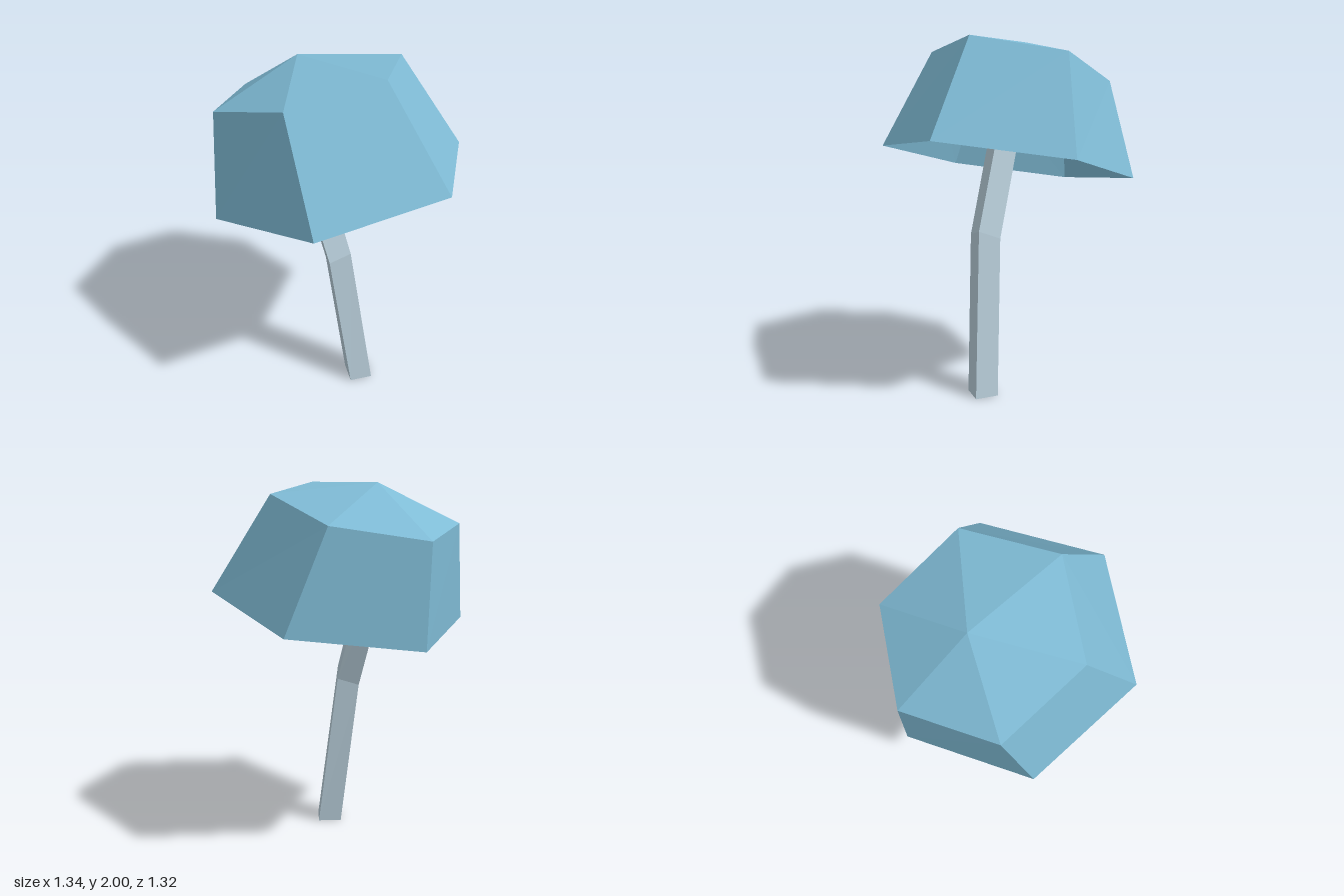
import * as THREE from 'three';

const V = (x, y, z) => new THREE.Vector3(x, y, z);

// Regular tilted polygon: half-diagonals around a centre, then mirrored through it
function ring(centre, halves) {
  return [
    ...halves.map((h) => centre.clone().add(h)),
    ...halves.map((h) => centre.clone().sub(h)),
  ];
}

// Skin from the lowest ring to the highest; optional points close the ends with fans
function loft(rings, bottom, top) {
  const pts = [];
  const n = rings[0].length;
  for (let i = 0; i < n; i++) {
    const j = (i + 1) % n;
    for (let k = 0; k + 1 < rings.length; k++) {
      const lo = rings[k], up = rings[k + 1];
      pts.push(lo[i], up[i], lo[j], lo[j], up[i], up[j]);
    }
    const last = rings[rings.length - 1];
    if (bottom) pts.push(bottom, rings[0][i], rings[0][j]);
    if (top) pts.push(top, last[j], last[i]);
  }
  const geo = new THREE.BufferGeometry().setFromPoints(pts);
  geo.computeVertexNormals();
  return geo;
}

export function createModel() {
  const group = new THREE.Group();
  group.name = 'mushroom';

  const capBlue = new THREE.MeshStandardMaterial({ color: 0x7fbbd5, flatShading: true, side: THREE.DoubleSide });
  capBlue.name = 'cap blue';
  const stemGrey = new THREE.MeshStandardMaterial({ color: 0xb9cfdb, flatShading: true });
  stemGrey.name = 'stem pale grey';

  // Cap: open, hollow six-sided shell leaning to one side, with a shallow peak
  const hexagon = (centre, a, b) => ring(centre, [a, b, b.clone().sub(a)]);
  const rim = hexagon(V(0, 1.325, 0), V(0.67, 0.17, 0.115), V(0.23, 0.085, 0.66));
  const shoulder = hexagon(V(-0.19, 1.845, 0), V(0.48, 0.155, 0.085), V(0.16, 0.08, 0.478));
  const cap = new THREE.Mesh(loft([rim, shoulder], null, V(-0.26, 1.98, 0)), capBlue);
  cap.name = 'cap';

  // Stem: four-sided, bent in the middle
  const foot = V(0.161, 0, 0.083);
  const bend = V(0.04, 0.897, 0.117);
  const tip = V(-0.24, 1.68, 0.075);
  const stemRings = [
    ring(foot, [V(0.093, 0, 0), V(0, 0, 0.093)]),
    ring(bend, [V(0.082, 0.044, 0.002), V(0, 0.005, 0.092)]),
    ring(tip, [V(0.083, 0.035, 0), V(0, 0.005, 0.092)]),
  ];
  const stem = new THREE.Mesh(loft(stemRings, foot, tip), stemGrey);
  stem.name = 'stem';

  group.add(cap, stem);
  return group;
}
